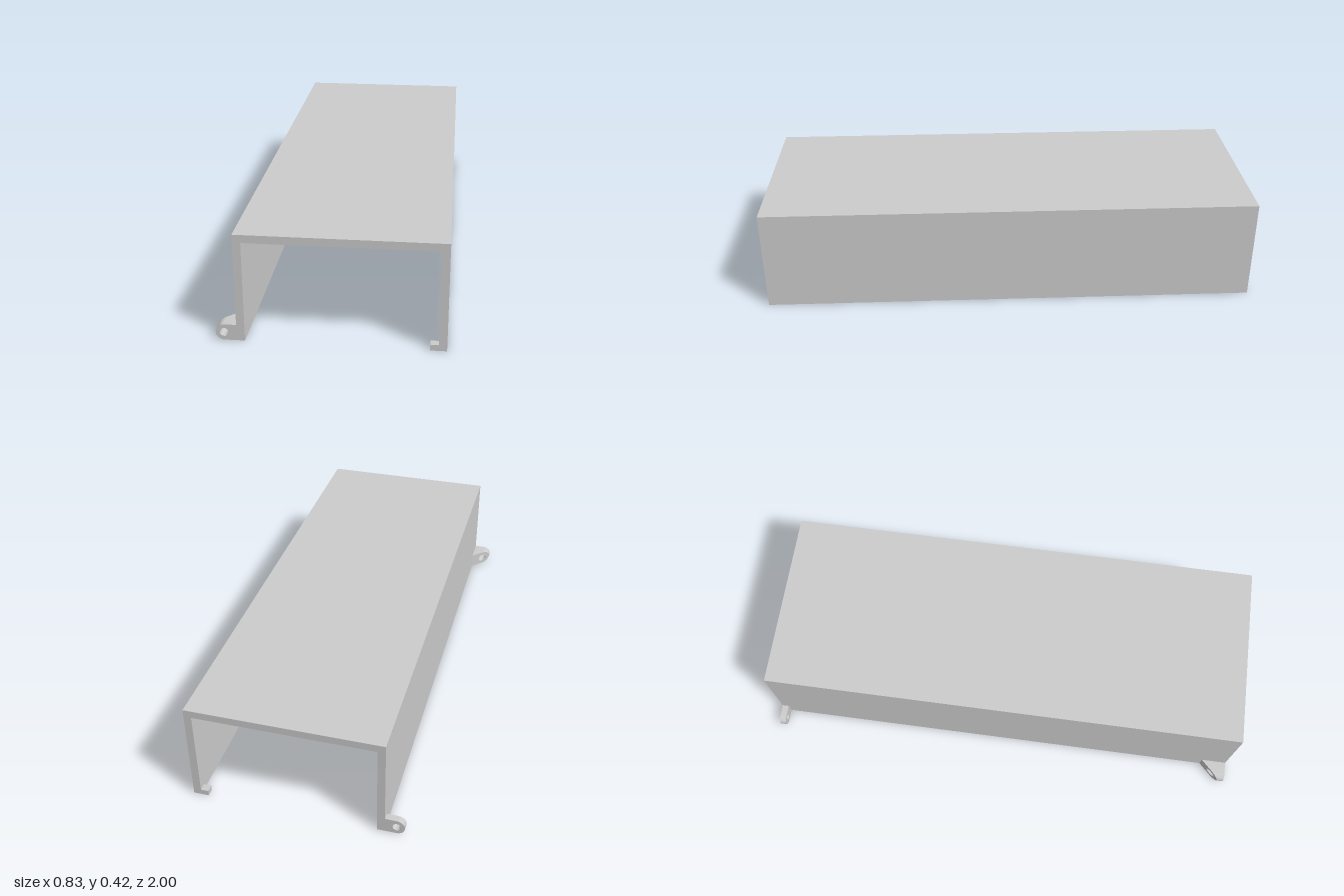
import * as THREE from 'three';
import { toCreasedNormals } from 'three/addons/utils/BufferGeometryUtils.js';

const HEIGHT = 0.416, LEFT = 0.415, RIGHT = -0.34, WALL = 0.03;
const LUG_R = 0.031, LUG_X = -0.385, HOLE_R = 0.016, LUG_DEPTH = 0.027;

const material = new THREE.MeshStandardMaterial({ color: 0xcccccc });

function addPart(group, name, geometry, z = 0) {
  const mesh = new THREE.Mesh(toCreasedNormals(geometry, 0.6), material);
  mesh.name = name;
  mesh.position.z = z;
  group.add(mesh);
}

// Rounded hinge ear with a pin hole, running from its tip to the wall
function lugGeometry(depth) {
  const shape = new THREE.Shape();
  shape.moveTo(RIGHT, 0);
  shape.lineTo(RIGHT, LUG_R * 2);
  shape.lineTo(LUG_X, LUG_R * 2);
  shape.absarc(LUG_X, LUG_R, LUG_R, Math.PI / 2, Math.PI * 1.5, false);
  shape.closePath();
  const hole = new THREE.Path();
  hole.absarc(LUG_X, LUG_R, HOLE_R, 0, Math.PI * 2, true);
  shape.holes.push(hole);
  return new THREE.ExtrudeGeometry(shape, { depth, bevelEnabled: false, curveSegments: 24 });
}

export function createModel() {
  const model = new THREE.Group();
  model.name = 'channelCover';

  // Upside-down U channel, open at both ends
  const profile = new THREE.Shape([
    [RIGHT, 0], [RIGHT + WALL, 0], [RIGHT + WALL, HEIGHT - WALL], [LEFT - WALL, HEIGHT - WALL],
    [LEFT - WALL, 0], [LEFT, 0], [LEFT, HEIGHT], [RIGHT, HEIGHT],
  ].map(([x, y]) => new THREE.Vector2(x, y)));
  addPart(model, 'channel', new THREE.ExtrudeGeometry(profile, { depth: 2, bevelEnabled: false }), -1);

  // Plain hinge ear at the back
  addPart(model, 'backHingeLug', lugGeometry(LUG_DEPTH), -1);

  // Front hinge ear: its rear face slopes at 45 degrees to the wall
  const front = lugGeometry(LUG_DEPTH);
  const p = front.attributes.position;
  for (let i = 0; i < p.count; i++) {
    const atFront = p.getZ(i) > LUG_DEPTH / 2;
    p.setZ(i, atFront ? 0 : -LUG_DEPTH - (p.getX(i) - LUG_X + LUG_R));
  }
  addPart(model, 'frontHingeLug', front, 1);

  // Small latch catches inside the foot of the left wall, one per end
  for (const [name, side] of [['frontCatch', 1], ['backCatch', -1]]) {
    const catchBox = new THREE.BoxGeometry(WALL, 0.023, WALL);
    catchBox.translate(LEFT - WALL * 1.5, 0.0115, 0);
    addPart(model, name, catchBox, side * (1 - WALL / 2));
  }
  return model;
}
